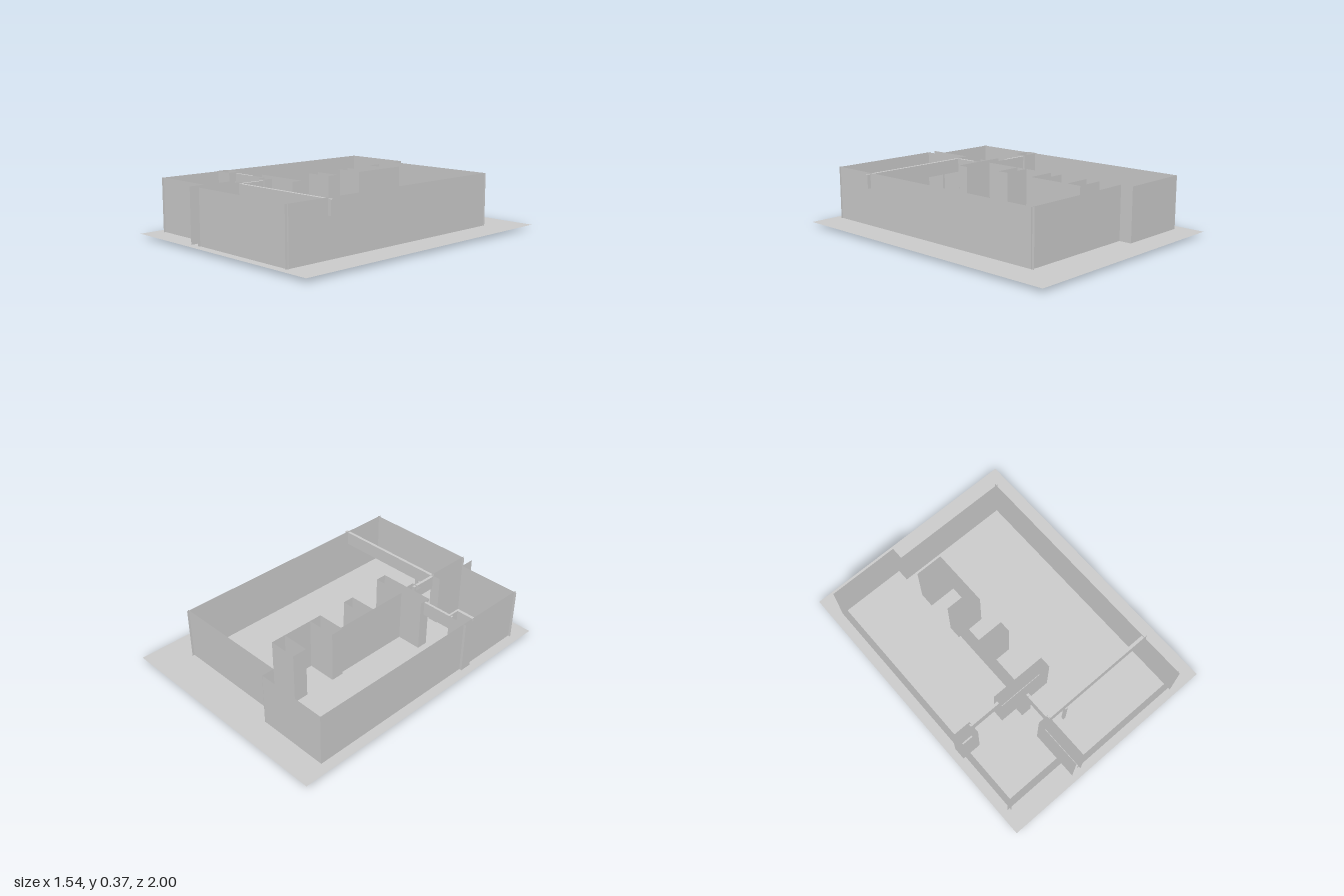
import * as THREE from 'three';

const FLOOR = 0.022, TOP = 0.37;

export function createModel() {
  const model = new THREE.Group();
  const sheet = new THREE.MeshStandardMaterial({ color: 0xcccccc, flatShading: true, side: THREE.DoubleSide });
  const solid = new THREE.MeshStandardMaterial({ color: 0xcccccc, flatShading: true });

  // One upright, paper-thin panel between two plan points
  function wall(parent, name, x1, z1, x2, z2) {
    const dx = x2 - x1, dz = z2 - z1;
    const panel = new THREE.Mesh(new THREE.PlaneGeometry(Math.hypot(dx, dz), TOP - FLOOR), sheet);
    panel.position.set((x1 + x2) / 2, (FLOOR + TOP) / 2, (z1 + z2) / 2);
    panel.rotation.y = Math.atan2(-dz, dx);
    panel.name = name;
    parent.add(panel);
  }

  // Open-topped pier: four panels around a rectangle in plan
  function pier(parent, name, x1, x2, z1, z2) {
    const g = new THREE.Group();
    g.name = name;
    wall(g, 'pierBack', x2, z1, x1, z1);
    wall(g, 'pierFront', x1, z2, x2, z2);
    wall(g, 'pierLeft', x2, z2, x2, z1);
    wall(g, 'pierRight', x1, z1, x1, z2);
    parent.add(g);
  }

  // Solid bar given by its extents
  function bar(name, x1, x2, y1, y2, z1, z2) {
    const m = new THREE.Mesh(new THREE.BoxGeometry(x2 - x1, y2 - y1, z2 - z1), solid);
    m.position.set((x1 + x2) / 2, (y1 + y2) / 2, (z1 + z2) / 2);
    m.name = name;
    model.add(m);
  }

  // Floor sheet
  const floor = new THREE.Mesh(new THREE.PlaneGeometry(1.545, 2), sheet);
  floor.rotation.x = -Math.PI / 2;
  floor.position.y = FLOOR;
  floor.name = 'floor';
  model.add(floor);

  // Outer walls, running slightly past each other at the corners
  const outer = new THREE.Group();
  outer.name = 'outerWalls';
  model.add(outer);
  wall(outer, 'leftWall', 0.567, 0.96, 0.567, -0.76);
  wall(outer, 'rightWall', -0.705, 0.872, -0.705, -0.83);
  wall(outer, 'backWallLong', 0.577, -0.745, -0.23, -0.745);
  wall(outer, 'backStep', -0.23, -0.745, -0.23, -0.83);
  wall(outer, 'backWallShort', -0.23, -0.828, -0.705, -0.828);
  wall(outer, 'frontWallLong', -0.226, 0.945, 0.577, 0.945);
  wall(outer, 'frontWallShort', -0.722, 0.858, -0.28, 0.858);

  // Entrance recess cut into the front
  wall(outer, 'recessOuterSide', -0.28, 0.96, -0.28, 0.63);
  wall(outer, 'recessEnd', -0.28, 0.63, -0.21, 0.63);
  wall(outer, 'recessInnerSide', -0.21, 0.63, -0.21, 0.96);

  // Inner piers and the partitions linking them
  const inner = new THREE.Group();
  inner.name = 'innerWalls';
  model.add(inner);
  pier(inner, 'backPier', -0.222, -0.035, -0.59, -0.49);
  wall(inner, 'backPartition', -0.035, -0.49, -0.035, -0.285);
  pier(inner, 'middleBackPier', -0.228, -0.035, -0.285, -0.2);
  wall(inner, 'middlePartition', -0.215, -0.2, -0.215, 0);
  pier(inner, 'middleFrontPier', -0.215, -0.035, 0, 0.078);
  wall(inner, 'frontPartition', -0.215, 0.078, -0.215, 0.335);
  pier(inner, 'widePier', -0.38, 0, 0.335, 0.41);
  pier(inner, 'smallPier', -0.262, -0.192, 0.41, 0.468);
  pier(inner, 'sidePier', -0.722, -0.59, 0.357, 0.437);

  // Overhead beams and the post under the long one
  bar('longBeam', -0.215, 0.592, 0.27, 0.362, 0.632, 0.652);
  bar('crossBeam', -0.223, -0.205, 0.27, 0.362, 0.45, 0.632);
  bar('sideBeam', -0.6, -0.38, 0.27, 0.362, 0.367, 0.384);
  bar('post', -0.082, -0.064, 0, 0.27, 0.64, 0.658);

  return model;
}
